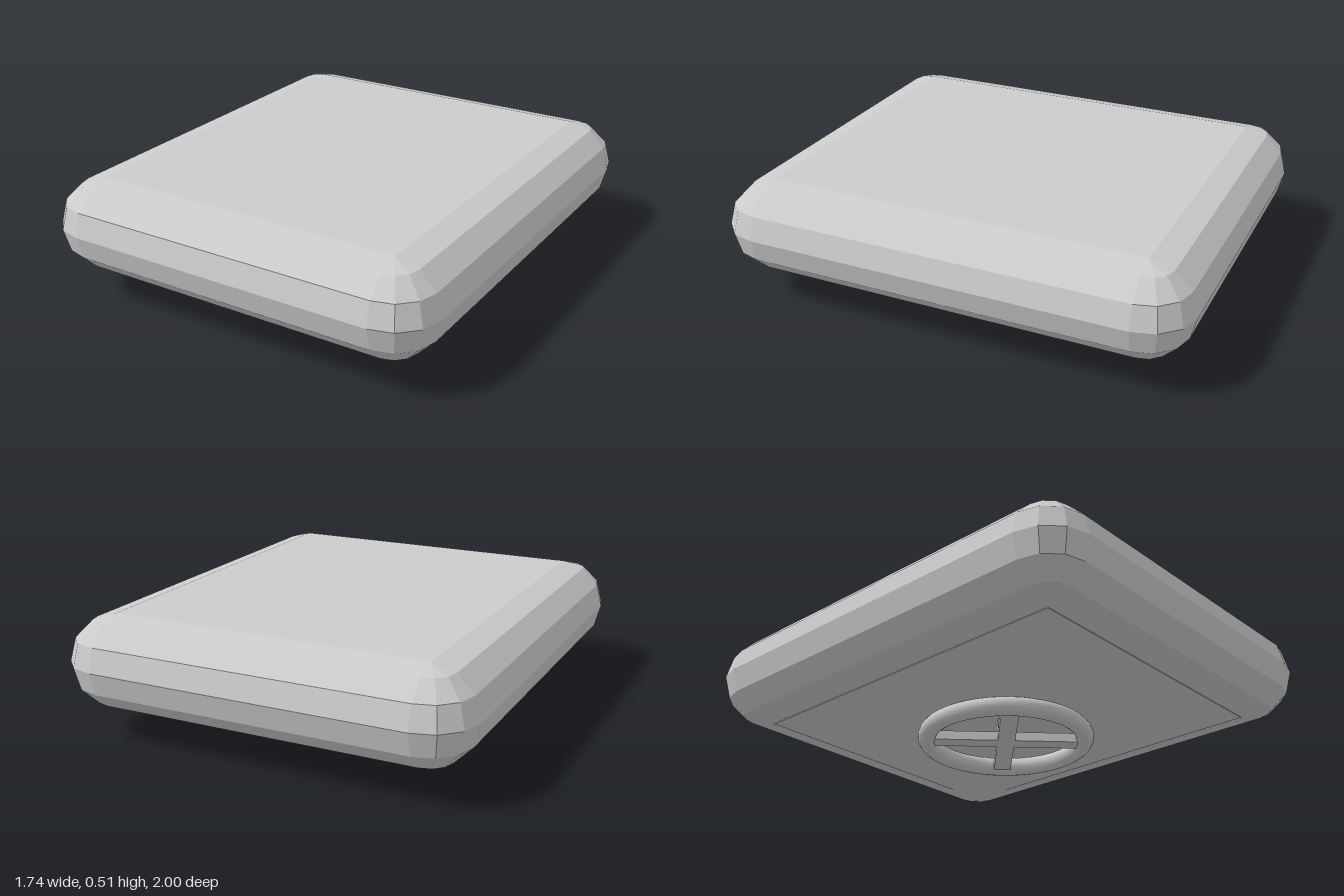
import * as THREE from 'three';

const smooth = new THREE.MeshStandardMaterial({ color: 0xcccccc });
const faceted = new THREE.MeshStandardMaterial({ color: 0xcccccc, flatShading: true });

// Block with spherical corners: horizontal rounded-rectangle rings stacked along y
function roundedBlock(w, h, d, steps) {
  const r = h / 2, cx = w / 2 - r, cz = d / 2 - r;
  const pos = [], index = [], n = 4 * (steps + 1), rows = 2 * steps;
  for (let i = 0; i <= rows; i++) {
    const lat = -Math.PI / 2 + (i / rows) * Math.PI;
    const rr = r * Math.cos(lat);
    for (let c = 0; c < 4; c++) {
      const sx = c === 0 || c === 3 ? 1 : -1, sz = c < 2 ? 1 : -1;
      for (let k = 0; k <= steps; k++) {
        const a = (c + k / steps) * Math.PI / 2;
        pos.push(sx * cx + rr * Math.cos(a), r * Math.sin(lat), sz * cz + rr * Math.sin(a));
      }
    }
  }
  for (let i = 0; i < rows; i++) {
    for (let j = 0; j < n; j++) {
      const a = i * n + j, b = i * n + (j + 1) % n;
      index.push(a, a + n, b, b, a + n, b + n);
    }
  }
  // Flat bottom and top
  const top = rows * n;
  for (let j = 1; j < n - 1; j++) {
    index.push(0, j, j + 1);
    index.push(top, top + j + 1, top + j);
  }
  const g = new THREE.BufferGeometry();
  g.setAttribute('position', new THREE.Float32BufferAttribute(pos, 3));
  g.setIndex(index);
  g.computeVertexNormals();
  return g;
}

export function createModel() {
  const model = new THREE.Group();
  const add = (parent, name, geometry, material, x, y, z) => {
    const mesh = new THREE.Mesh(geometry, material);
    mesh.name = name;
    mesh.position.set(x, y, z);
    parent.add(mesh);
    return mesh;
  };

  // Padded cushion with a thin panel under it
  add(model, 'cushion', roundedBlock(1.74, 0.39, 2, 3), faceted, 0, 0.315, 0);
  add(model, 'undersidePanel', new THREE.BoxGeometry(1.3, 0.02, 1.56), faceted, 0, 0.127, 0);

  // Swivel base: ring, diagonal spokes and centre post
  const base = new THREE.Group();
  base.name = 'swivelBase';
  base.position.set(0.01, 0, -0.01);
  base.rotation.y = Math.PI / 4;
  model.add(base);
  const ring = new THREE.TorusGeometry(0.342, 0.04, 16, 48).rotateX(Math.PI / 2);
  add(base, 'baseRing', ring, smooth, 0, 0.04, 0);
  for (let i = 0; i < 2; i++) {
    const spoke = add(base, 'spoke', new THREE.BoxGeometry(0.66, 0.04, 0.075), faceted, 0, 0.035, 0);
    spoke.rotation.y = i * Math.PI / 2;
  }
  add(base, 'centrePost', new THREE.BoxGeometry(0.074, 0.12, 0.074), faceted, 0, 0.08, 0);

  return model;
}
